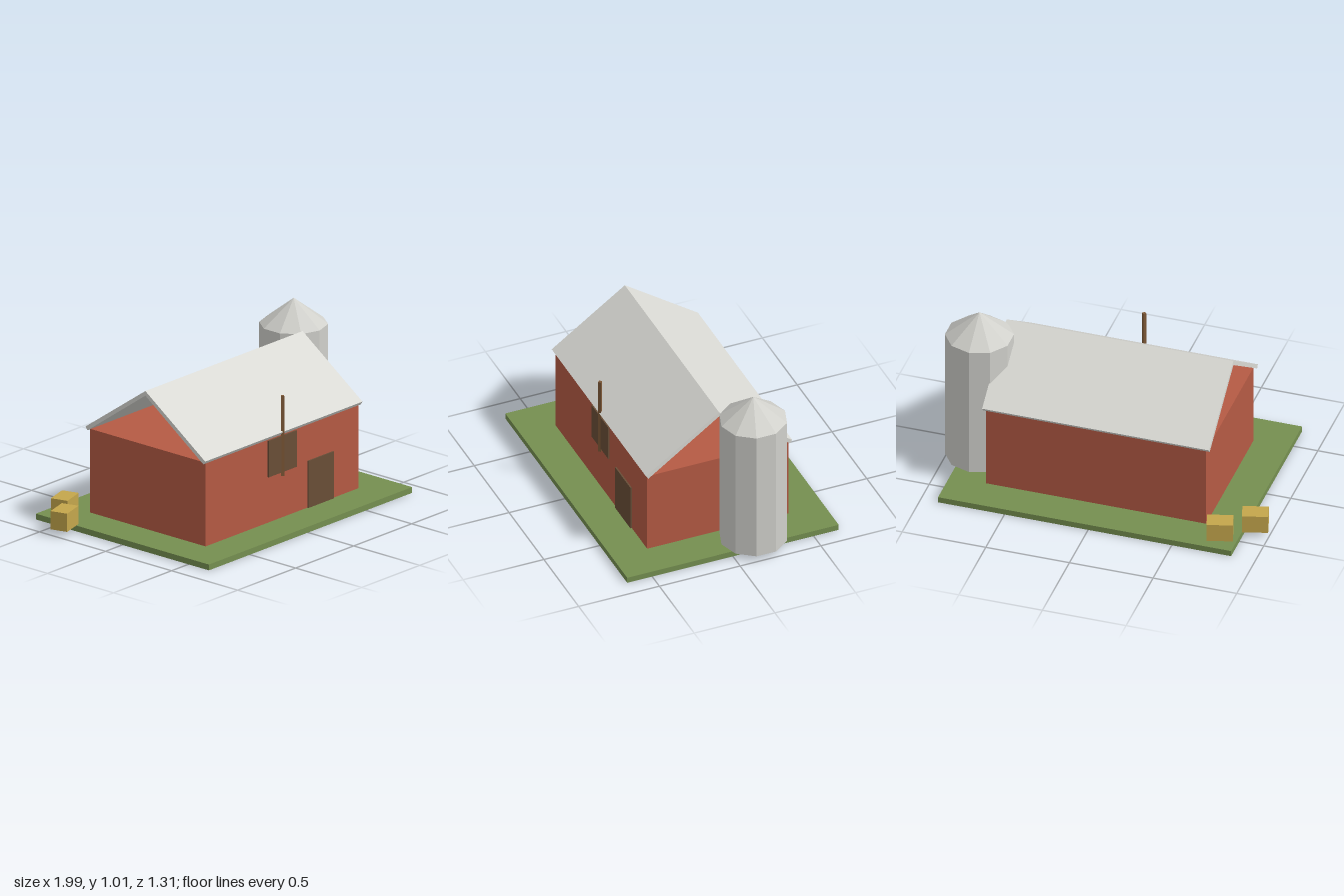
import * as THREE from 'three';

const flat = (name, color) => {
  const m = new THREE.MeshStandardMaterial({ color });
  m.name = name;
  return m;
};

export function createModel() {
  const grass = flat('grass green', 0x758f50);
  const red = flat('barn red', 0xb55a44);
  const wood = flat('dark wood', 0x694e37);
  const poleWood = flat('pole wood', 0x7d5837);
  const metal = flat('pale metal', 0xd9d9d4);
  const silver = flat('silo grey', 0xd0d0cb);
  const straw = flat('straw', 0xc4a64c);

  const model = new THREE.Group();
  model.name = 'farmyard';

  const add = (name, geometry, material, x, y, z) => {
    const mesh = new THREE.Mesh(geometry, material);
    mesh.name = name;
    mesh.position.set(x, y, z);
    model.add(mesh);
    return mesh;
  };
  // Box given by its extents
  const box = (name, material, [x0, x1], [y0, y1], [z0, z1]) =>
    add(name, new THREE.BoxGeometry(x1 - x0, y1 - y0, z1 - z0), material,
      (x0 + x1) / 2, (y0 + y1) / 2, (z0 + z1) / 2);

  const floor = 0.035;
  box('ground', grass, [-0.855, 0.897], [0, floor], [-0.655, 0.655]);
  box('barnWalls', red, [-0.636, 0.68], [floor, 0.54], [-0.438, 0.438]);

  // Front doors
  box('lowerDoor', wood, [0.24, 0.46], [floor, 0.318], [0.438, 0.447]);
  box('loftDoor', wood, [-0.102, 0.141], [0.311, 0.53], [0.438, 0.447]);

  // Gable roof: two slabs in one chevron profile, open at the gable ends
  const chevron = new THREE.Shape([
    [-0.453, 0.556], [-0.439, 0.536], [0, 0.848],
    [0.439, 0.536], [0.453, 0.556], [0, 0.876],
  ].map(([x, y]) => new THREE.Vector2(x, y)));
  const roofGeometry = new THREE.ExtrudeGeometry(chevron, { depth: 1.356, bevelEnabled: false });
  roofGeometry.rotateY(Math.PI / 2);
  add('roof', roofGeometry, metal, -0.657, 0, 0);

  // Four-sided pole standing in front of the loft door
  const pole = new THREE.CylinderGeometry(0.0125, 0.0125, 0.483, 4).toNonIndexed();
  pole.computeVertexNormals();
  add('pole', pole, poleWood, 0.02, 0.53, 0.445);

  // Ten-sided silo with a pointed cap
  const faceted = (geometry) => {
    const g = geometry.toNonIndexed();
    g.computeVertexNormals();
    return g;
  };
  const r = 0.197, sx = 0.808, sz = -0.164;
  add('siloBody', faceted(new THREE.CylinderGeometry(r, r, 0.823, 10)), silver, sx, floor + 0.4115, sz);
  add('siloCap', faceted(new THREE.ConeGeometry(r, 0.152, 10, 1, true)), silver, sx, 0.934, sz);

  // Straw bales behind the left corner
  for (const [x, z] of [[-0.748, -0.53], [-0.913, -0.387]]) {
    const bale = add('strawBale', new THREE.BoxGeometry(0.15, 0.11, 0.105), straw, x, floor + 0.055, z);
    bale.rotation.y = 0.28;
  }

  return model;
}
